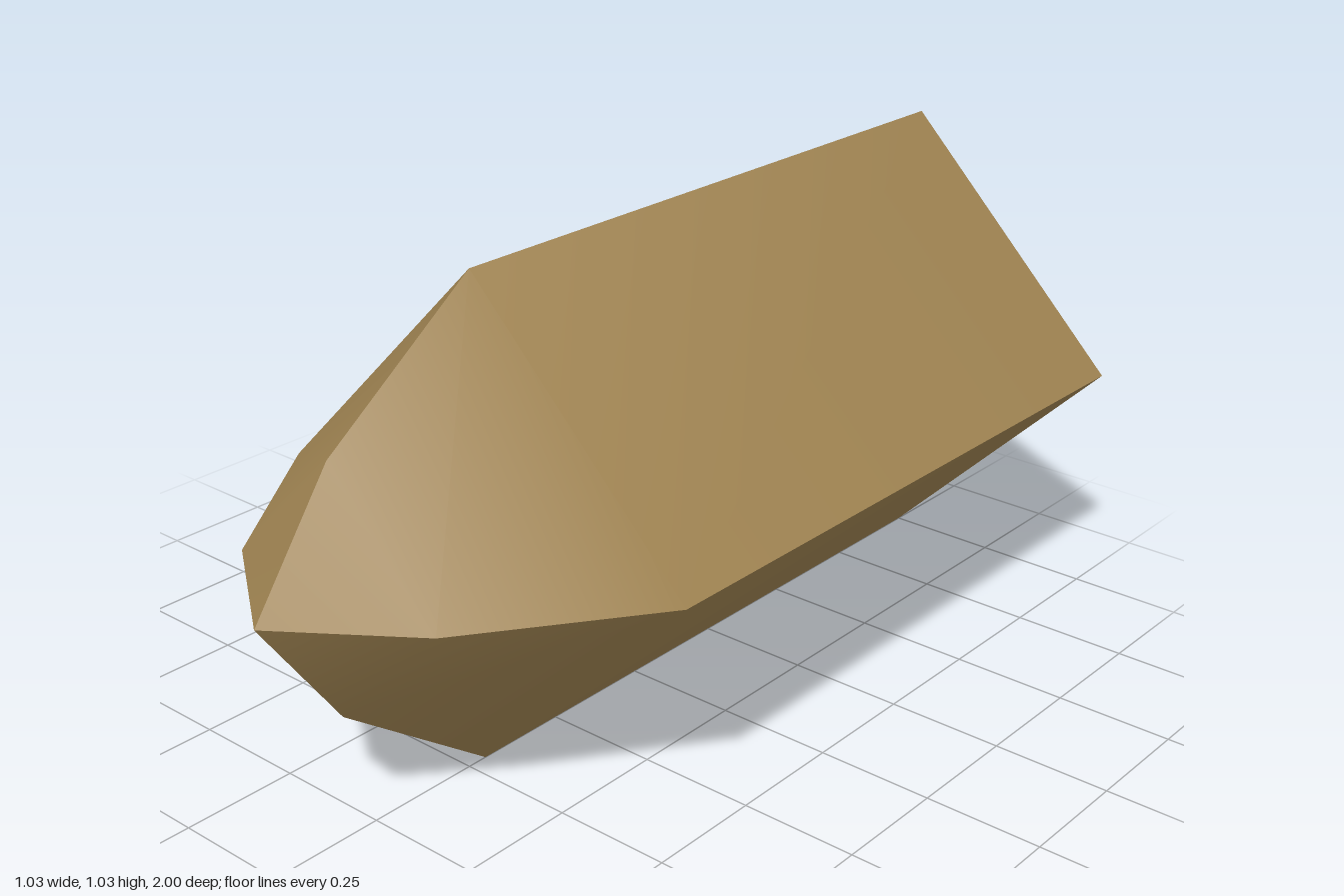
import * as THREE from 'three';
import { toCreasedNormals } from 'three/addons/utils/BufferGeometryUtils.js';

const R = 0.515;                 // centre to ridge
const HALF = R / Math.SQRT2;     // half side of the square section

export function createModel() {
  const group = new THREE.Group();
  const tan = new THREE.MeshStandardMaterial({ color: 0xa08452 });
  tan.name = 'tan';
  const darkBrown = new THREE.MeshStandardMaterial({ color: 0x483717 });
  darkBrown.name = 'darkBrown';

  // Four-sided bar with a two-step pointed nose, closed at the back
  const profile = [[0, -1], [R, -1], [R, 0.455], [R / 2, 0.815], [0, 1]]
    .map(([r, z]) => new THREE.Vector2(r, z));
  const lathe = new THREE.LatheGeometry(profile, 4);
  lathe.rotateX(Math.PI / 2);
  const body = new THREE.Mesh(toCreasedNormals(lathe, 0.8), tan);
  body.name = 'pointedBody';
  body.position.y = R;
  group.add(body);

  // Ragged cross-shaped mark on the back: one quarter outline turned four times
  const quarter = [
    [0.75, 0.23], [0.66, 0.27], [0.56, 0.24], [0.52, 0.34], [0.44, 0.40], [0.47, 0.47],
    [0.39, 0.44], [0.33, 0.54], [0.24, 0.56], [0.27, 0.66], [0.23, 0.75],
  ];
  const outline = [];
  for (let i = 0; i < 4; i++) {
    for (const [s, t] of quarter) {
      outline.push(new THREE.Vector2(s * HALF, t * HALF)
        .rotateAround(new THREE.Vector2(), Math.PI / 4 + i * Math.PI / 2));
    }
  }
  const mark = new THREE.Mesh(new THREE.ShapeGeometry(new THREE.Shape(outline)), darkBrown);
  mark.name = 'backMark';
  mark.rotation.y = Math.PI;
  mark.position.set(0, R, -1.002);
  group.add(mark);

  return group;
}
